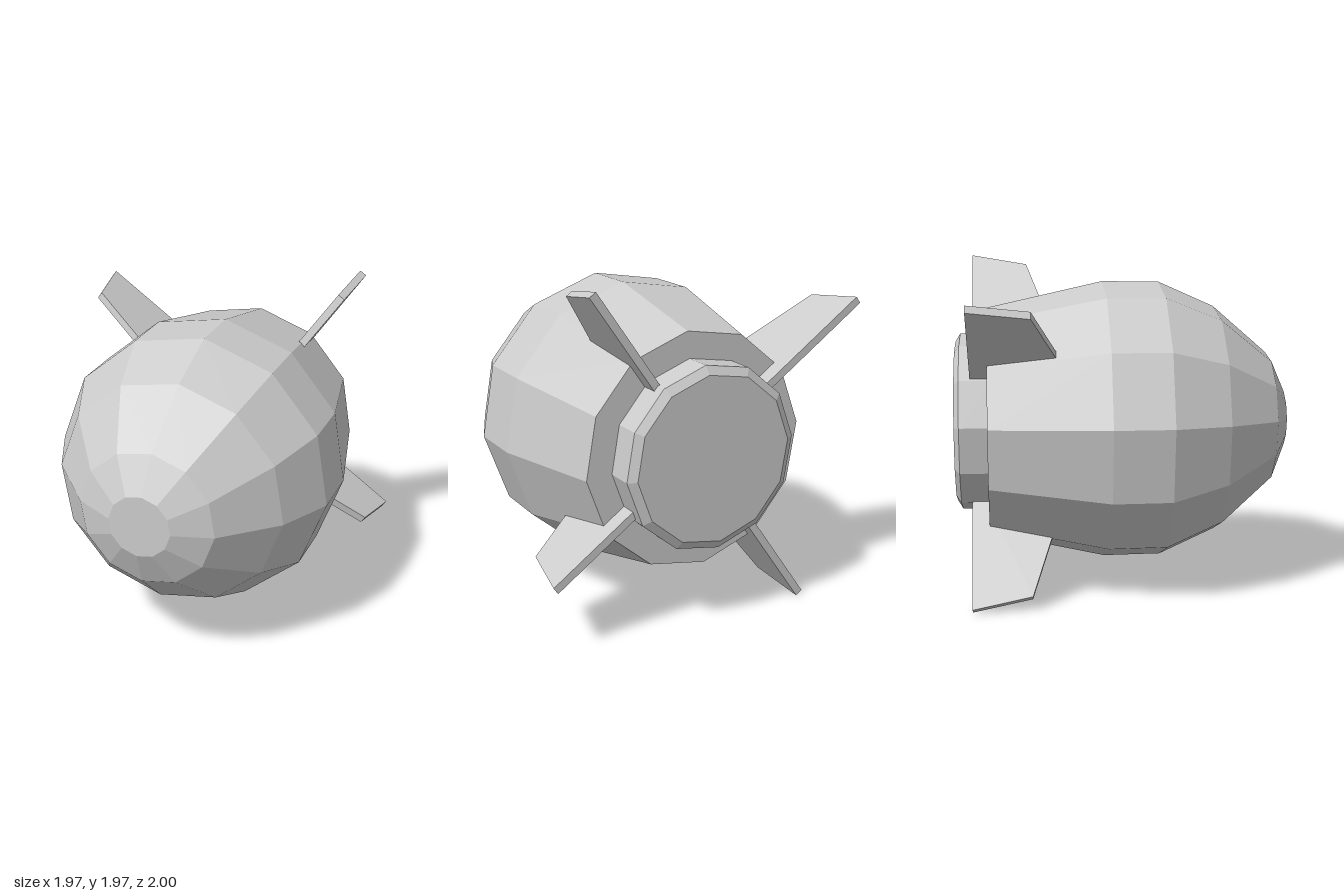
import * as THREE from 'three';

const material = new THREE.MeshStandardMaterial({ color: 0xcccccc, flatShading: true });
const DEG = Math.PI / 180;

// Twelve-sided solid of revolution along z, from [radius, z] pairs listed back to front
function turned(name, profile) {
  const points = profile.map(([r, z]) => new THREE.Vector2(r, z));
  const geometry = new THREE.LatheGeometry(points, 12, 84.6 * DEG);
  geometry.rotateX(Math.PI / 2);
  const mesh = new THREE.Mesh(geometry, material);
  mesh.name = name;
  mesh.position.set(0.04, 1.01, 0);
  return mesh;
}

// Swept fin outline in (radius, z), extruded to its thickness
function finGeometry() {
  const outline = [[0.35, -0.905], [1.19, -0.905], [1.12, -0.56], [0.35, -0.305]];
  const shape = new THREE.Shape(outline.map(([r, z]) => new THREE.Vector2(r, z)));
  const thickness = 0.046;
  const geometry = new THREE.ExtrudeGeometry(shape, { depth: thickness, bevelEnabled: false });
  geometry.translate(0, 0, -thickness / 2);
  geometry.rotateX(Math.PI / 2);
  return geometry;
}

export function createModel() {
  const model = new THREE.Group();
  model.name = 'finnedShell';

  // Bulging body with a flat nose and flat rear shoulder
  model.add(turned('body', [
    [0, -0.805], [0.69, -0.805], [0.845, -0.11], [0.842, 0.235],
    [0.69, 0.575], [0.405, 0.9], [0.185, 1], [0, 1],
  ]));

  // Rear cap with a chamfered rim
  model.add(turned('rearCap', [[0, -1], [0.485, -1], [0.535, -0.97], [0.535, -0.78], [0, -0.78]]));

  // Four fins: two opposite pairs, the second pair slightly off the body axis
  const geometry = finGeometry();
  const pairs = [
    { angle: 54.8, x: 0.046, y: 1.001 },
    { angle: 144.8, x: -0.005, y: 1.09 },
  ];
  for (const { angle, x, y } of pairs) {
    for (const turn of [0, 180]) {
      const fin = new THREE.Mesh(geometry, material);
      fin.name = 'fin';
      fin.position.set(x, y, 0);
      fin.rotation.z = (angle + turn) * DEG;
      model.add(fin);
    }
  }
  return model;
}
